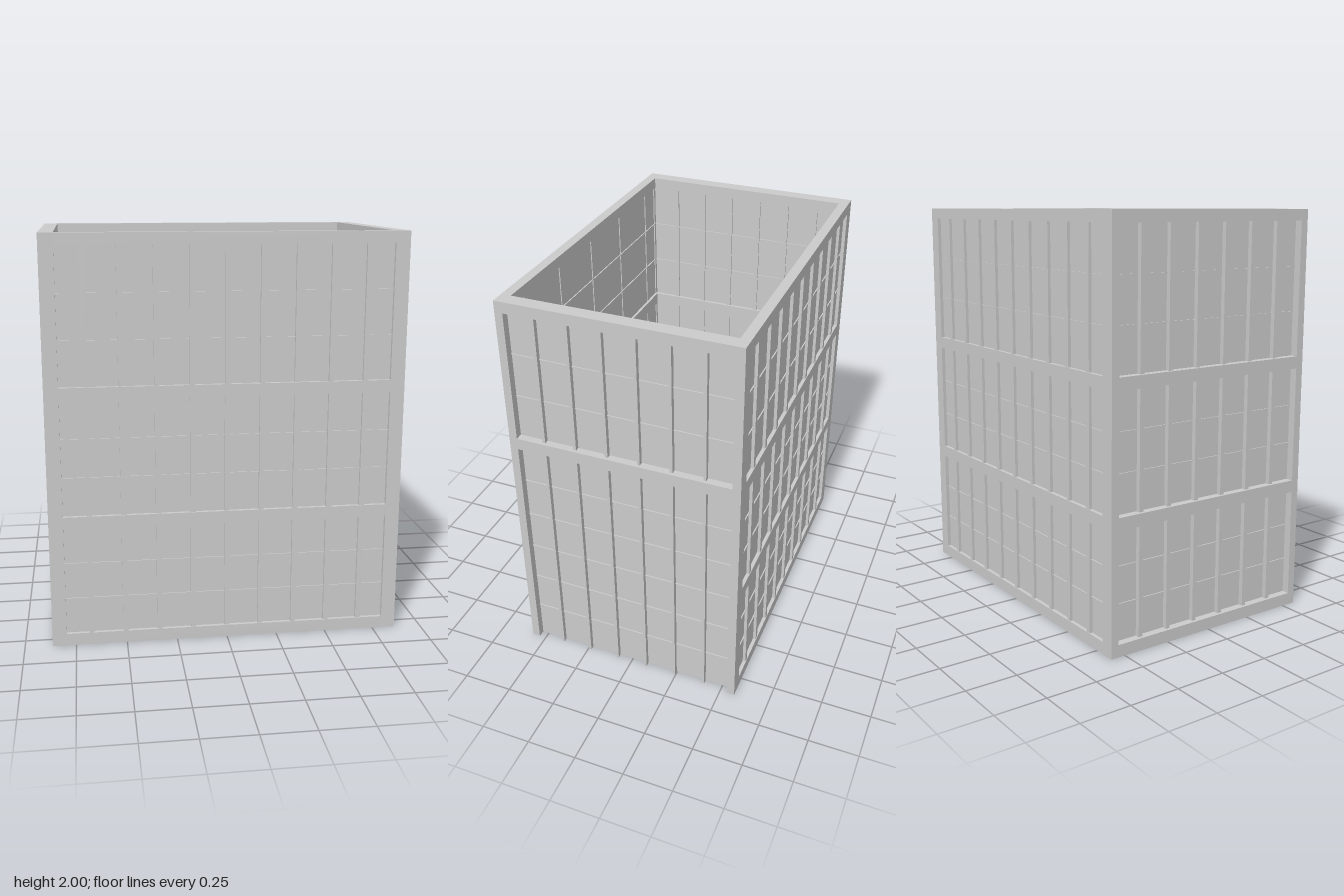
import * as THREE from 'three';

const material = new THREE.MeshStandardMaterial({ color: 0xcccccc });
const H = 2;

function block(parent, name, w, h, d, x, y, z) {
  const mesh = new THREE.Mesh(new THREE.BoxGeometry(w, h, d), material);
  mesh.name = name;
  mesh.position.set(x, y, z);
  parent.add(mesh);
}

// Openings between the horizontal rails, as [bottom, top, number of boards]
const threeRows = [[0.06, 0.6, 3], [0.66, 1.23, 3], [1.29, 1.945, 3]];
const twoRows = [[0, 1.23, 6], [1.29, 1.945, 3]];

// One wall, lying along x, with its outer face towards +z (depth 0 = inner face)
function wall(name, o) {
  const g = new THREE.Group();
  g.name = name;
  const { length, inner, thick, rows, bars, barWidth, post, sheet, barIn, barOut } = o;
  const open = length - 2 * post;
  const mid = inner + thick / 2;

  // corner posts
  if (post > 0) {
    for (const s of [-1, 1]) {
      block(g, 'cornerPost', post, H, thick, s * (length - post) / 2, H / 2, mid);
    }
  }

  // rails fill the space around the openings
  let y = 0;
  for (const [bottom, top] of [...rows, [H, H]]) {
    if (bottom > y) block(g, 'rail', open, bottom - y, thick, 0, (bottom + y) / 2, mid);
    y = top;
  }

  for (const [bottom, top, boards] of rows) {
    const h = top - bottom, cy = (top + bottom) / 2;
    // infill sheet
    block(g, 'panel', open, h, sheet[1] - sheet[0], 0, cy, inner + (sheet[0] + sheet[1]) / 2);
    // upright bars
    for (const x of bars) {
      block(g, 'uprightBar', barWidth, h, barOut - barIn, x, cy, inner + (barIn + barOut) / 2);
    }
    // thin horizontal joint strips on both faces
    for (let i = 1; i < boards; i++) {
      block(g, 'jointStrip', open, 0.003, sheet[1] - sheet[0] + 0.012, 0,
        bottom + h * i / boards, inner + (sheet[0] + sheet[1]) / 2);
    }
  }
  return g;
}

export function createModel() {
  const model = new THREE.Group();
  model.name = 'panelledEnclosure';

  const longBars = Array.from({ length: 9 }, (_, i) => -0.672 + i * 0.168);
  const shortBars = Array.from({ length: 6 }, (_, i) => -0.4 + i * 0.16);

  // long walls fit between the short walls
  const long = {
    length: 1.59, inner: 0.527, thick: 0.048, rows: threeRows, bars: longBars,
    barWidth: 0.025, post: 0, sheet: [0.014, 0.03], barOut: 0.045,
  };
  const front = wall('frontWall', { ...long, barIn: 0.014 });
  // inner joints between the wide front sheets
  for (const [bottom, top] of threeRows) {
    for (let i = -2; i <= 2; i++) {
      block(front, 'innerJoint', 0.004, top - bottom, 0.006, i * 0.336, (top + bottom) / 2, 0.539);
    }
  }
  const back = wall('backWall', { ...long, barIn: 0.006 });
  back.rotation.y = Math.PI;

  // short walls include the corner posts
  const short = {
    length: 1.15, inner: 0.795, thick: 0.07, bars: shortBars,
    post: 0.04, sheet: [0.016, 0.032], barIn: 0.008,
  };
  const left = wall('leftWall', { ...short, rows: twoRows, barWidth: 0.014, barOut: 0.055 });
  left.rotation.y = Math.PI / 2;
  const right = wall('rightWall', { ...short, rows: threeRows, barWidth: 0.022, barOut: 0.055 });
  right.rotation.y = -Math.PI / 2;

  model.add(front, back, left, right);
  return model;
}
